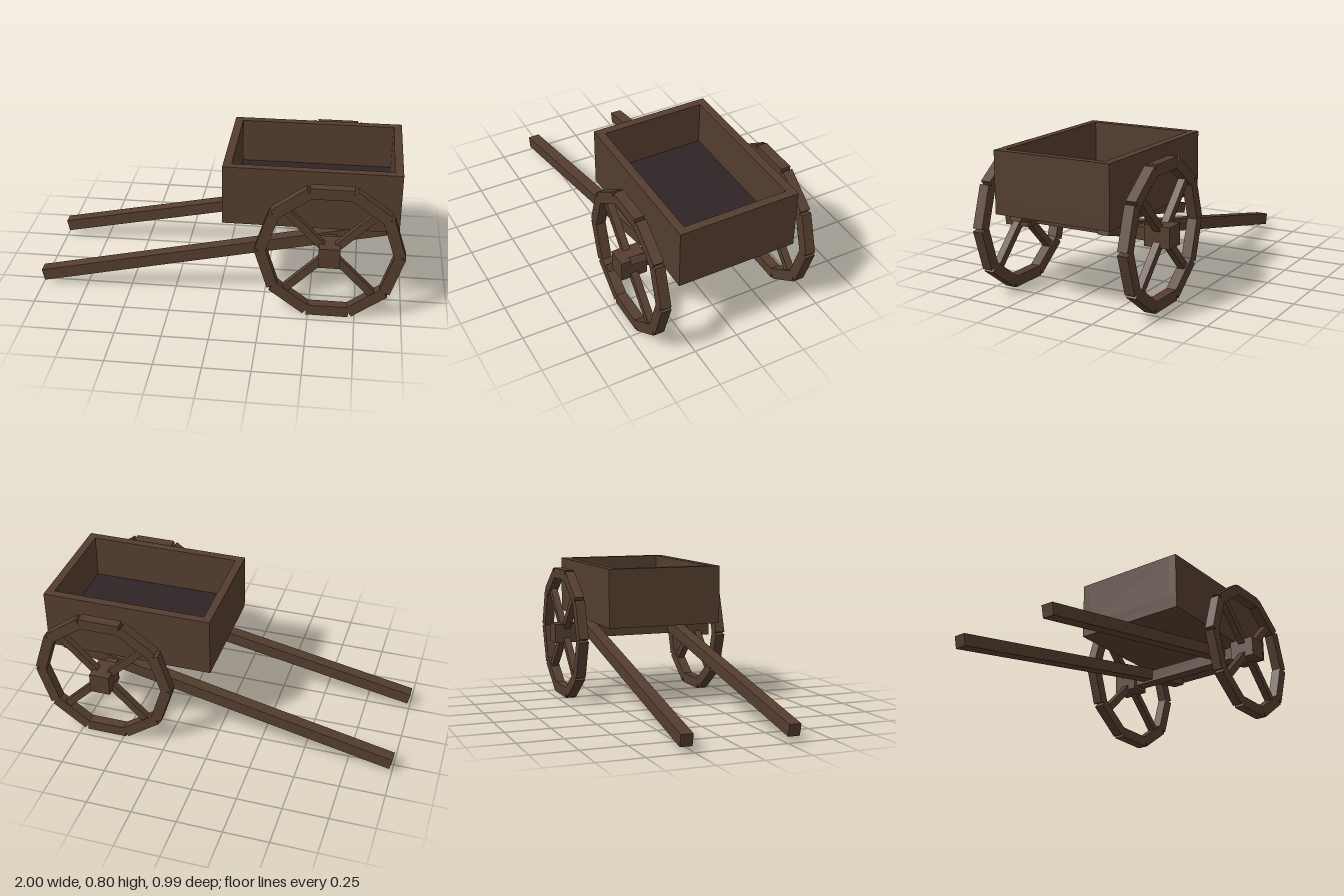
import * as THREE from 'three';

export function createModel() {
  const wood = new THREE.MeshStandardMaterial({ color: 0x543d2f });
  wood.name = 'brown wood';
  const dark = new THREE.MeshStandardMaterial({ color: 0x2f2426 });
  dark.name = 'dark floor';

  const model = new THREE.Group();
  model.name = 'handcart';

  function box(parent, name, size, pos, material = wood) {
    const mesh = new THREE.Mesh(new THREE.BoxGeometry(...size), material);
    mesh.name = name;
    mesh.position.set(...pos);
    parent.add(mesh);
    return mesh;
  }

  // Open tray: base, four walls and a dark floor plate
  const tray = new THREE.Group();
  tray.name = 'tray';
  model.add(tray);
  const cx = 0.492, length = 0.94, width = 0.666, wall = 0.045;
  const bottom = 0.47, top = 0.8, baseHeight = 0.075;
  box(tray, 'trayBase', [length, baseHeight, width], [cx, bottom + baseHeight / 2, 0]);
  box(tray, 'trayFloor', [length - 2 * wall, 0.008, width - 2 * wall],
    [cx, bottom + baseHeight + 0.004, 0], dark);
  const wallHeight = top - bottom - baseHeight;
  const wallY = top - wallHeight / 2;
  for (const s of [-1, 1]) {
    box(tray, 'sideWall', [length, wallHeight, wall], [cx, wallY, s * (width - wall) / 2]);
    box(tray, 'endWall', [wall, wallHeight, width - 2 * wall], [cx + s * (length - wall) / 2, wallY, 0]);
  }

  // Axle
  const axleX = 0.603, axleY = 0.38;
  box(model, 'axle', [0.07, 0.07, 0.72], [axleX, axleY, 0]);

  // Ten-sided wheels with square hubs and four diagonal spokes
  function makeWheel() {
    const wheel = new THREE.Group();
    const rimOuter = 0.38, rimDepth = 0.06;
    box(wheel, 'hub', [0.112, 0.112, 0.146], [0, 0, 0]);
    for (let i = 0; i < 10; i++) {
      const a = Math.PI / 2 + i * Math.PI / 5;
      const r = rimOuter - rimDepth / 2;
      const bar = box(wheel, 'rimBar', [rimDepth, 0.228, 0.056], [r * Math.cos(a), r * Math.sin(a), 0]);
      bar.rotation.z = a;
    }
    for (let i = 0; i < 4; i++) {
      const a = Math.PI / 4 + i * Math.PI / 2;
      const spoke = box(wheel, 'spoke', [0.31, 0.04, 0.04], [0.195 * Math.cos(a), 0.195 * Math.sin(a), 0]);
      spoke.rotation.z = a;
    }
    return wheel;
  }

  // Wheels and slightly splayed pull shafts on both sides
  for (const [side, s] of [['left', 1], ['right', -1]]) {
    const wheel = makeWheel();
    wheel.name = s > 0 ? 'frontWheel' : 'backWheel';
    wheel.position.set(axleX, axleY, s * 0.423);
    model.add(wheel);

    const tip = new THREE.Vector3(-0.993, 0.063, s * 0.29);
    const end = new THREE.Vector3(0.892, 0.459, s * 0.258);
    const mid = tip.clone().add(end).multiplyScalar(0.5);
    const shaft = box(model, s > 0 ? 'frontShaft' : 'backShaft',
      [0.066, 0.066, tip.distanceTo(end)], mid.toArray());
    shaft.lookAt(end);
  }

  return model;
}
